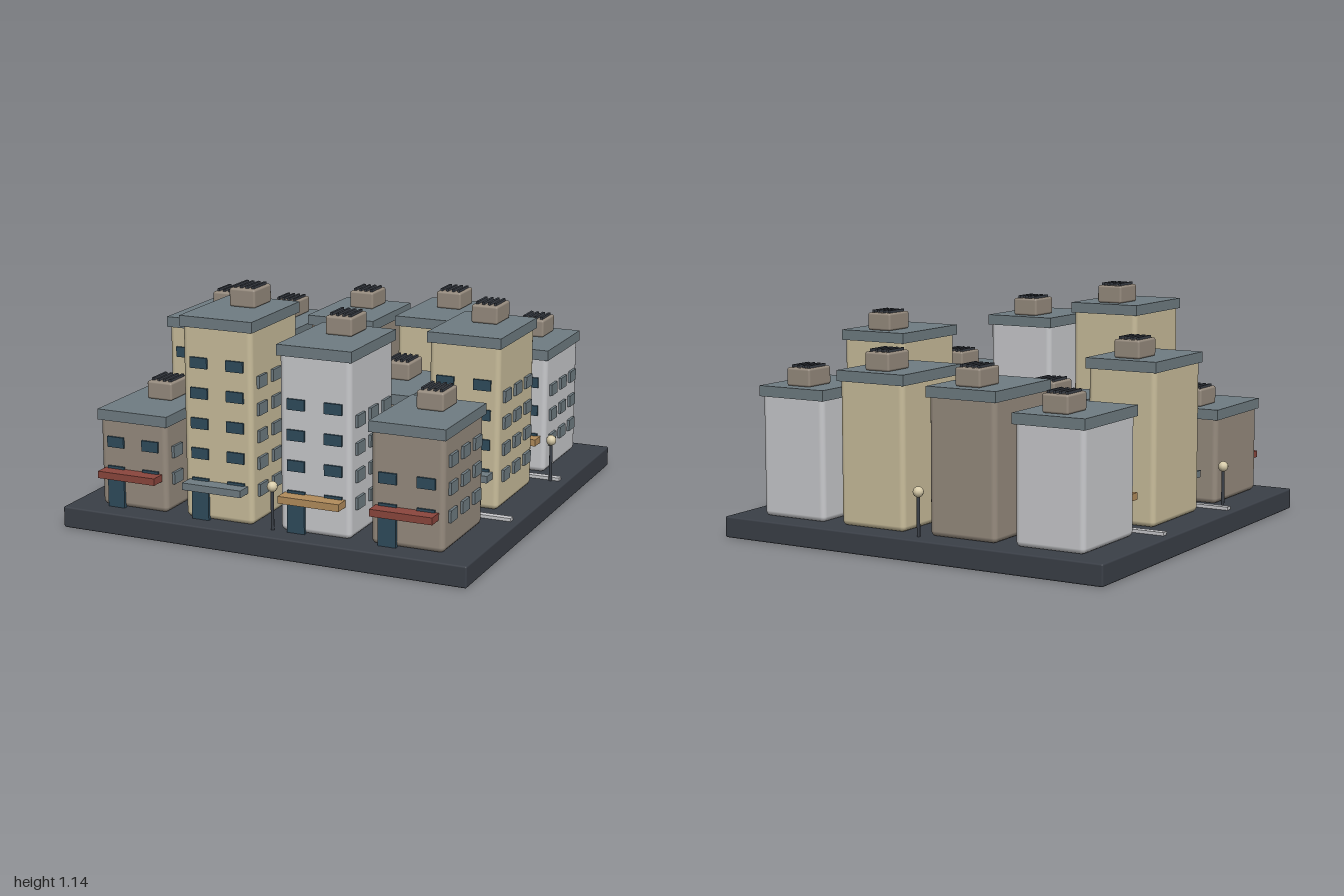
import * as THREE from 'three';
import { RoundedBoxGeometry } from 'three/addons/geometries/RoundedBoxGeometry.js';

const mat = (name, color) => {
  const m = new THREE.MeshStandardMaterial({ color });
  m.name = name;
  return m;
};

export function createModel() {
  const M = {
    asphalt: mat('asphalt', 0x3a3f47),
    tan: mat('tan plaster', 0xc9bd9b),
    pale: mat('pale plaster', 0xc8c9cc),
    brown: mat('brown plaster', 0x968b7e),
    slate: mat('slate', 0x6f7c82),
    red: mat('red awning', 0x8b463d),
    orange: mat('orange awning', 0xb28c5c),
    glass: mat('dark glass', 0x2f4b5c),
    cream: mat('cream', 0xd6caa8),
  };
  const city = new THREE.Group();
  city.name = 'cityBlock';

  const add = (parent, name, geo, material, x, y, z) => {
    const m = new THREE.Mesh(geo, material);
    m.name = name;
    m.position.set(x, y, z);
    parent.add(m);
    return m;
  };
  const box = (w, h, d) => new THREE.BoxGeometry(w, h, d);
  const rbox = (w, h, d, r) => new RoundedBoxGeometry(w, h, d, 2, r);

  const GROUND = 0.1, W = 0.345, D = 0.465, ROOF = 0.05;
  add(city, 'ground', rbox(2, GROUND, 2, 0.008), M.asphalt, 0, GROUND / 2, 0);

  // Shared building parts
  const frontWindow = box(0.085, 0.05, 0.02);
  const sideWindow = box(0.02, 0.056, 0.082);
  const door = box(0.085, 0.145, 0.02);
  const awning = box(0.295, 0.033, 0.075);
  const roof = box(0.36, ROOF, 0.485);
  const unit = rbox(0.13, 0.085, 0.17, 0.01);
  const slat = box(0.012, 0.02, 0.125);

  // One building; y values are measured from the ground slab top
  function building(x, z, roofTop, wall, awningMat) {
    const g = new THREE.Group();
    g.name = 'building';
    g.position.set(x, GROUND, z);
    const h = roofTop - GROUND - ROOF;
    add(g, 'walls', rbox(W, h + 0.02, D, 0.025), wall, 0, h / 2 + 0.01, 0);
    add(g, 'roof', roof, M.slate, 0, h + ROOF / 2, 0);

    // Front windows, door and awning
    const frontRows = Math.floor((h - 0.26) / 0.14 + 1.01);
    for (let i = 0; i < frontRows; i++)
      for (const s of [-1, 1])
        add(g, 'frontWindow', frontWindow, M.glass, s * 0.09, 0.17 + i * 0.14, D / 2);
    add(g, 'door', door, M.glass, -0.09, 0.0725, D / 2 + 0.003);
    add(g, 'awning', awning, awningMat, 0, 0.167, D / 2 + 0.0375);

    // Side windows
    const sideRows = Math.floor((h + 0.02) / 0.165);
    for (let i = 0; i < sideRows; i++)
      for (const k of [-1, 0, 1])
        add(g, 'sideWindow', sideWindow, M.slate, W / 2 + 0.003, 0.155 + i * 0.125, k * 0.142);

    // Rooftop unit with slats
    const top = h + ROOF;
    add(g, 'rooftopUnit', unit, M.brown, 0, top + 0.0425, -0.1);
    for (let i = 0; i < 4; i++)
      add(g, 'slat', slat, M.asphalt, (i - 1.5) * 0.03, top + 0.087, -0.1);
    city.add(g);
  }

  const styles = [[M.brown, M.red], [M.tan, M.slate], [M.pale, M.orange]];
  const columns = [-0.68, -0.24, 0.24, 0.68];
  const rows = [0.66, 0, -0.66];
  const heights = [
    [0.56, 1.04, 0.955, 0.66],
    [0.86, 0.64, 0.6, 0.915],
    [0.69, 0.775, 0.815, 0.715],
  ];
  rows.forEach((z, r) => columns.forEach((x, c) => {
    building(x, z, heights[r][c], ...styles[(r + c) % 3]);
  }));

  // Street strips with crossings
  const strip = box(1.925, 0.016, 0.034);
  const bar = box(0.017, 0.012, 0.118);
  for (const z of [0.338, -0.342]) {
    add(city, 'streetStrip', strip, M.pale, 0, GROUND + 0.007, z);
    for (let i = 0; i < 6; i++)
      add(city, 'crossingBar', bar, M.cream, -0.065 + i * 0.03, GROUND + 0.021, z);
  }

  // Street lamps
  const pole = new THREE.CylinderGeometry(0.008, 0.008, 0.19, 8);
  const globe = new THREE.SphereGeometry(0.025, 10, 8);
  for (const [x, z] of [[-0.92, 0.36], [0.92, -0.32], [-0.03, -0.922], [0.033, 0.9]]) {
    add(city, 'lampPole', pole, M.asphalt, x, GROUND + 0.09, z);
    add(city, 'lampGlobe', globe, M.cream, x, 0.302, z);
  }
  return city;
}
